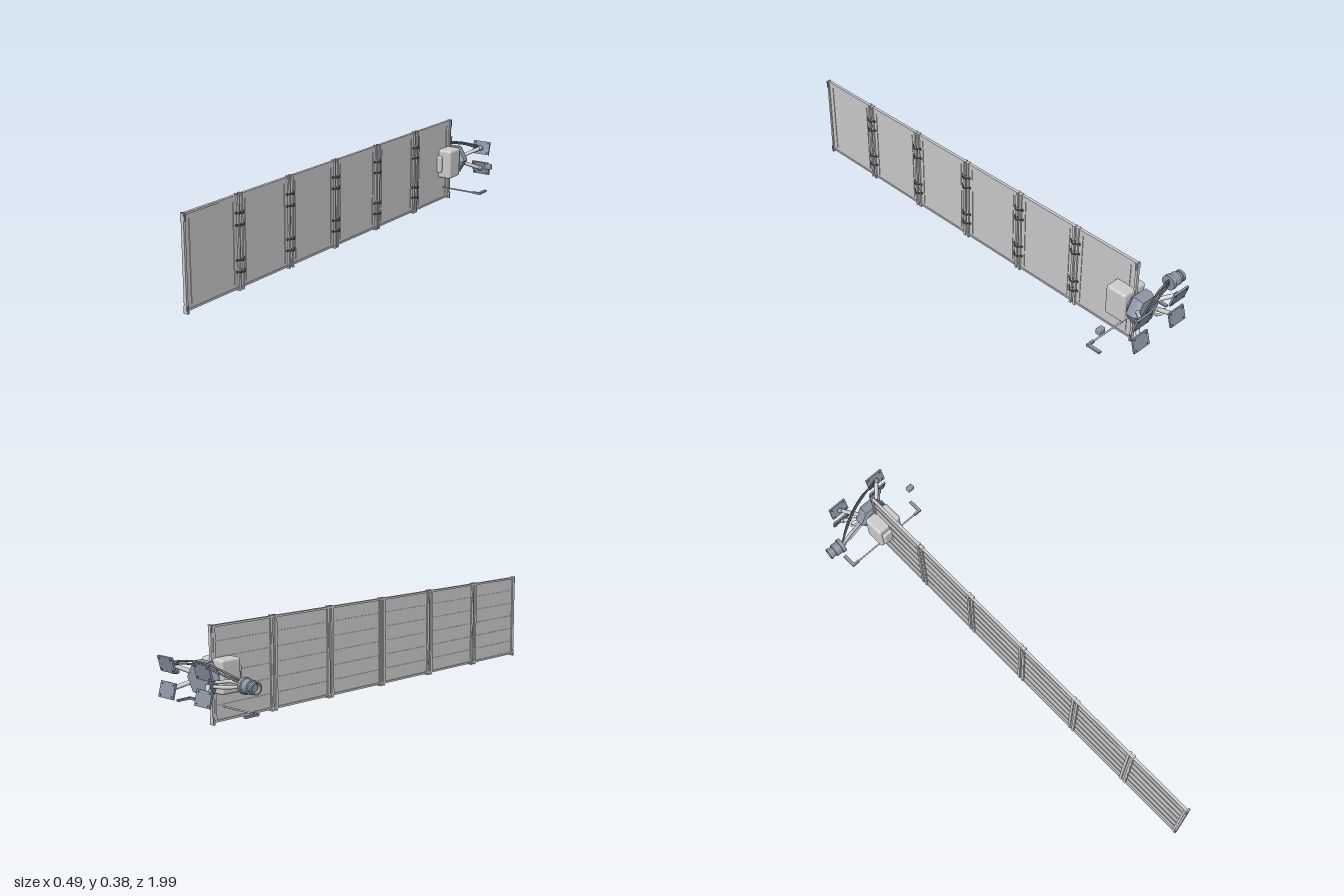
import * as THREE from 'three';
import { RoundedBoxGeometry } from 'three/addons/geometries/RoundedBoxGeometry.js';

const grey = new THREE.MeshStandardMaterial({ color: 0xcccccc });
const steel = new THREE.MeshStandardMaterial({ color: 0x8a95a5 });
const dark = new THREE.MeshStandardMaterial({ color: 0x60666e });
const hubSteel = steel.clone();
hubSteel.flatShading = true;

function add(parent, name, geometry, material, x = 0, y = 0, z = 0) {
  const mesh = new THREE.Mesh(geometry, material);
  mesh.name = name;
  mesh.position.set(x, y, z);
  parent.add(mesh);
  return mesh;
}

// box given by its min and max corners
function box(parent, name, material, [x0, x1], [y0, y1], [z0, z1], r = 0) {
  const s = [x1 - x0, y1 - y0, z1 - z0];
  const g = r ? new RoundedBoxGeometry(...s, 3, r) : new THREE.BoxGeometry(...s);
  return add(parent, name, g, material, (x0 + x1) / 2, (y0 + y1) / 2, (z0 + z1) / 2);
}

function tube(parent, name, material, radius, points) {
  const curve = new THREE.CatmullRomCurve3(points.map((p) => new THREE.Vector3(...p)));
  return add(parent, name, new THREE.TubeGeometry(curve, 28, radius, 10), material);
}

// one framed wing panel between z0 and z1
function panel(z0, z1) {
  const g = new THREE.Group();
  g.name = 'wingPanel';
  box(g, 'panelSkin', grey, [0.016, 0.021], [0.01, 0.378], [z0, z1]);
  for (const y of [0.01, 0.372]) box(g, 'panelRail', grey, [0.011, 0.024], [y, y + 0.008], [z0, z1]);
  for (const z of [z0 + 0.008, z1 - 0.018]) box(g, 'panelStile', grey, [0.011, 0.016], [0.01, 0.378], [z, z + 0.01]);
  for (let i = 1; i <= 5; i++) {
    const y = 0.012 + i * 0.061;
    box(g, 'panelRib', grey, [0.0135, 0.016], [y - 0.0015, y + 0.0015], [z0 + 0.02, z1 - 0.02]);
  }
  for (const z of [z0 + 0.034, z1 - 0.034]) {
    box(g, 'panelStrip', grey, [0.021, 0.0235], [0.03, 0.355], [z - 0.002, z + 0.002]);
  }
  return g;
}

// hinge post with its hooked clips
function hinge(z) {
  const g = new THREE.Group();
  g.name = 'hinge';
  for (const s of [-1, 1]) {
    box(g, 'hingePost', grey, [0.01, 0.028], [0.002, 0.383], [z + s * 0.01 - 0.005, z + s * 0.01 + 0.005]);
  }
  for (const y of [0.31, 0.262, 0.125, 0.078]) {
    const clip = add(g, 'hingeClip', new THREE.TorusGeometry(0.013, 0.0032, 8, 20, Math.PI * 1.5), dark, 0.027, y, z);
    clip.rotation.set(Math.PI / 2, 0, -Math.PI * 0.75);
    box(g, 'clipFoot', dark, [0.021, 0.026], [y - 0.004, y + 0.004], [z - 0.024, z + 0.024]);
  }
  return g;
}

// foot plate with corner studs on an angled strut; sx and sy choose the corner
function foot(sx, sy) {
  const g = new THREE.Group();
  g.name = 'footAssembly';
  const cx = 0.02 + sx * 0.105, cy = 0.188 + sy * 0.049, cz = -0.981;
  const plate = new THREE.Group();
  plate.name = 'footPlate';
  plate.position.set(cx, cy, cz);
  plate.rotation.x = -sy * 0.26;
  box(plate, 'plate', steel, [-0.043, 0.043], [-0.031, 0.031], [-0.004, 0.004]);
  for (const x of [-0.032, 0.032]) {
    for (const y of [-0.022, 0.022]) box(plate, 'plateStud', dark, [x - 0.003, x + 0.003], [y - 0.003, y + 0.003], [-0.006, 0.007]);
  }
  g.add(plate);
  tube(g, 'footStrut', grey, 0.009, [
    [0.02 + sx * 0.04, 0.188 + sy * 0.014, -0.905],
    [0.02 + sx * 0.075, 0.188 + sy * 0.033, -0.94],
    [cx, cy, cz + 0.008],
  ]);
  add(g, 'strutBall', new THREE.SphereGeometry(0.012, 16, 12), steel, cx, cy, cz + 0.009);
  return g;
}

export function createModel() {
  const model = new THREE.Group();
  model.name = 'panelArray';

  // long wing of six panels
  const wing = new THREE.Group();
  wing.name = 'wing';
  const step = 0.31;
  for (let i = 0; i < 6; i++) {
    const z1 = 1 - i * step;
    wing.add(panel(z1 - step, z1));
    if (i) wing.add(hinge(z1));
  }
  for (const z of [0.995, -0.857]) {
    box(wing, 'endPost', grey, [0.013, 0.026], [0.003, 0.38], [z - 0.005, z + 0.005]);
    for (const y of [0.001, 0.352]) box(wing, 'endCap', steel, [0.01, 0.03], [y, y + 0.03], [z - 0.004, z + 0.004]);
  }
  model.add(wing);

  // equipment housing
  const body = new THREE.Group();
  body.name = 'housing';
  box(body, 'housingShell', grey, [-0.04, 0.082], [0.121, 0.256], [-0.857, -0.762], 0.012);
  box(body, 'housingCover', grey, [-0.026, 0.041], [0.149, 0.226], [-0.775, -0.747], 0.007);
  model.add(body);

  // faceted hub behind the housing
  const hub = new THREE.Group();
  hub.name = 'hub';
  const profile = [[0, -0.035], [0.055, -0.035], [0.072, -0.024], [0.072, 0.005], [0.062, 0.022], [0, 0.022]];
  const core = add(hub, 'hubCore', new THREE.LatheGeometry(profile.map((p) => new THREE.Vector2(...p)), 6), hubSteel, 0.02, 0.188, -0.9);
  core.rotation.set(-Math.PI / 2, Math.PI / 6, 0, 'XYZ');
  const neck = add(hub, 'hubNeck', new THREE.CylinderGeometry(0.045, 0.045, 0.03, 24), steel, 0.02, 0.188, -0.868);
  neck.rotation.x = Math.PI / 2;
  for (const sx of [-1, 1]) for (const sy of [-1, 1]) hub.add(foot(sx, sy));
  model.add(hub);

  // stepped barrel on the right side, opening outward
  const barrel = new THREE.Group();
  barrel.name = 'barrel';
  const rings = [[0, 0], [0.01, 0], [0.01, 0.014], [0.032, 0.014], [0.032, 0.03], [0.028, 0.032], [0.028, 0.062],
    [0.021, 0.063], [0.021, 0.076], [0.025, 0.076], [0.025, 0.088], [0.019, 0.088], [0.017, 0.072], [0, 0.072]];
  const barrelMat = hubSteel.clone();
  barrelMat.side = THREE.DoubleSide;
  const lathe = new THREE.LatheGeometry(rings.map((p) => new THREE.Vector2(...p)), 28);
  add(barrel, 'barrelShell', lathe, barrelMat).rotation.z = Math.PI / 2;
  barrel.position.set(-0.157, 0.183, -0.864);
  barrel.rotation.y = -0.06;
  model.add(barrel);

  // hoses from the barrel to the hub and the far foot
  const hoses = new THREE.Group();
  hoses.name = 'hoses';
  for (const d of [0, 0.009]) {
    tube(hoses, 'darkHose', dark, 0.004, [
      [-0.168, 0.198 - d, -0.868], [-0.1, 0.229 - d, -0.9 - d], [-0.04, 0.251 - d, -0.924 - d],
      [0.03, 0.257 - d, -0.946 - d], [0.09, 0.25 - d, -0.964], [0.125, 0.242 - d, -0.976],
    ]);
  }
  tube(hoses, 'upperArm', grey, 0.007, [[-0.165, 0.187, -0.866], [-0.11, 0.191, -0.877], [-0.06, 0.182, -0.89], [-0.02, 0.18, -0.9]]);
  tube(hoses, 'lowerArm', grey, 0.007, [[-0.165, 0.178, -0.866], [-0.11, 0.168, -0.875], [-0.06, 0.163, -0.888], [-0.02, 0.165, -0.9]]);
  tube(hoses, 'hoseLoop', grey, 0.005, [[-0.03, 0.17, -0.925], [-0.07, 0.15, -0.935], [-0.07, 0.132, -0.93], [-0.045, 0.13, -0.922], [-0.02, 0.155, -0.915]]);
  model.add(hoses);

  // crossbar under the housing with a bent tip at each end
  const crossbar = new THREE.Group();
  crossbar.name = 'crossbar';
  const rod = add(crossbar, 'rod', new THREE.CylinderGeometry(0.0035, 0.0035, 0.37, 12), grey, 0.02, 0.065, -0.807);
  rod.rotation.z = Math.PI / 2;
  for (const s of [-1, 1]) {
    const span = (a, b) => [0.02 + s * a, 0.02 + s * b].sort((p, q) => p - q);
    box(crossbar, 'barSleeve', steel, span(0.164, 0.202), [0.06, 0.07], [-0.812, -0.802]);
    box(crossbar, 'barTip', steel, span(0.188, 0.202), [0.061, 0.069], [-0.868, -0.807]);
  }
  model.add(crossbar);

  // small separate sensor box
  box(model, 'sensorBox', steel, [0.209, 0.241], [0.17, 0.195], [-0.88, -0.857], 0.005);

  return model;
}
